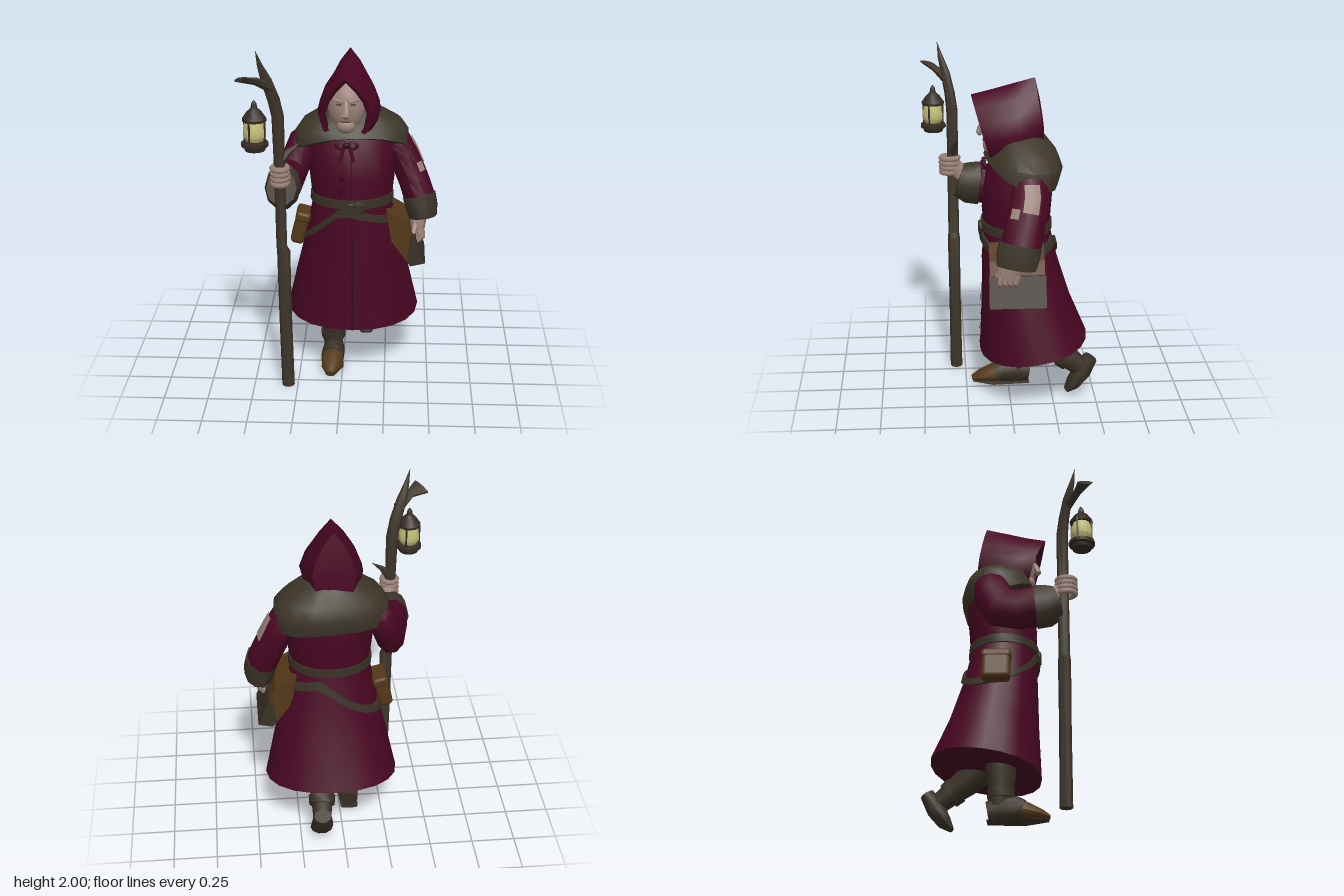
import * as THREE from 'three';
import { toCreasedNormals } from 'three/addons/utils/BufferGeometryUtils.js';
import { RoundedBoxGeometry } from 'three/addons/geometries/RoundedBoxGeometry.js';

const V = (x, y, z) => new THREE.Vector3(x, y, z);

export function createModel() {
  const root = new THREE.Group();
  root.name = 'lanternTraveller';
  const mat = (name, color, side = THREE.FrontSide) => {
    const m = new THREE.MeshStandardMaterial({ color, side });
    m.name = name;
    return m;
  };
  const crimson = mat('crimson cloth', 0x480622, THREE.DoubleSide);
  const darkRed = mat('dark crimson trim', 0x30051a, THREE.DoubleSide);
  const mantleCloth = mat('olive brown cloth', 0x3d3629);
  const hide = mat('dark leather', 0x393126, THREE.DoubleSide);
  const tan = mat('tan leather', 0x543818);
  const wood = mat('staff wood', 0x3e352a);
  const skin = mat('skin', 0x9b8379, THREE.DoubleSide);
  const iron = mat('lantern iron', 0x342a22);
  const glow = mat('lantern glass', 0xc4be78);
  const shade = mat('eye shade', 0x54423b);

  const add = (name, geo, material, pos, parent = root) => {
    const m = new THREE.Mesh(geo, material);
    m.name = name;
    if (pos) m.position.set(...pos);
    parent.add(m);
    return m;
  };

  // Surface through rows of points, optionally closed around and capped
  function grid(rows, closed = true, caps = true, crease = .75) {
    const n = rows[0].length, pts = rows.flat(), idx = [];
    for (let i = 0; i < rows.length - 1; i++)
      for (let j = 0; j < (closed ? n : n - 1); j++) {
        const k = (j + 1) % n, a = i * n + j, b = a + n, c = (i + 1) * n + k, d = i * n + k;
        idx.push(a, b, c, a, c, d);
      }
    if (caps) [0, rows.length - 1].forEach((r, end) => {
      const mid = rows[r].reduce((s, p) => s.add(p), V(0, 0, 0)).divideScalar(n);
      const c = pts.push(mid) - 1;
      for (let j = 0; j < n; j++) {
        const a = r * n + j, b = r * n + (j + 1) % n;
        idx.push(c, end ? b : a, end ? a : b);
      }
    });
    const g = new THREE.BufferGeometry().setFromPoints(pts);
    g.setIndex(idx);
    return toCreasedNormals(g, crease);
  }

  // Rings [x, y, z, a, b, slope, sideDroop] along a path, or stacked upright; square < 1 fills the corners
  const bend = (v, e) => Math.sign(v) * Math.abs(v) ** e;
  function loft(rings, { sides = 10, upright = false, arc = null, grow = 0, square = 1 } = {}) {
    const c = rings.map(r => V(r[0], r[1], r[2]));
    return grid(rings.map((r, i) => {
      const t = upright ? V(0, 1, 0)
        : c[Math.min(i + 1, c.length - 1)].clone().sub(c[Math.max(i - 1, 0)]).normalize();
      const u = V(1, 0, 0).addScaledVector(t, -t.x).normalize(), v = u.clone().cross(t);
      return Array.from({ length: sides }, (_, j) => {
        const th = arc ? arc[0] + (arc[1] - arc[0]) * j / (sides - 1) : j / sides * Math.PI * 2;
        const q = (r[4] + grow) * bend(Math.sin(th), square);
        const p = c[i].clone().addScaledVector(u, (r[3] + grow) * bend(Math.cos(th), square)).addScaledVector(v, q);
        p.y += (r[5] || 0) * q - (r[6] || 0) * Math.cos(th) ** 2;
        return p;
      });
    }), !arc, !arc);
  }

  // Coat: flared skirt and torso
  const skirt = [[.055, .335, -.14, .385, .312, -.15], [.055, .6, -.095, .325, .255, -.08],
    [.055, .85, -.06, .265, .215, -.02], [.05, 1.04, -.04, .225, .19]];
  const torso = [[.05, 1.02, -.04, .225, .19], [.05, 1.2, -.045, .245, .198],
    [.045, 1.38, -.065, .25, .195], [.04, 1.48, -.08, .2, .15], [.035, 1.57, -.07, .1, .1]];
  add('coatSkirt', loft(skirt, { sides: 20, upright: true, square: .92 }), crimson);
  add('coatTorso', loft(torso, { sides: 16, upright: true }), crimson);
  const seam = { sides: 2, upright: true, arc: [1.547, 1.571], grow: .005 };
  add('skirtSeam', loft(skirt, seam), darkRed);
  add('torsoSeam', loft(torso.slice(0, 3), seam), darkRed);
  for (const y of [1.13, 1.21]) {
    const b = add('button', new THREE.CylinderGeometry(.014, .014, .01, 8), darkRed, [-.005, y, .146]);
    b.rotation.x = Math.PI / 2;
  }

  // Belt, buckle and the slung strap that follows the skirt
  add('belt', loft([[.05, 1.035, -.04, .24, .205], [.05, 1.085, -.04, .238, .203]],
    { sides: 20, upright: true }), hide);
  add('buckle', new THREE.TorusGeometry(.03, .012, 5, 8), hide, [.09, 1.045, .165]);
  add('beltKnot', new RoundedBoxGeometry(.08, .055, .03, 1, .01), hide, [.07, 1.045, .16]);
  function coatPoint(th, y, grow) {
    const i = y < .6 ? 0 : y < .85 ? 1 : 2, a = skirt[i], b = skirt[i + 1], f = (y - a[1]) / (b[1] - a[1]);
    const mix = k => a[k] + (b[k] - a[k]) * f;
    return V(mix(0) + (mix(3) + grow) * Math.cos(th), y, mix(2) + (mix(4) + grow) * Math.sin(th));
  }
  const strapRows = [[-.024, 0], [-.024, .019], [.02, .019], [.02, 0]].map(([dy, g]) =>
    Array.from({ length: 36 }, (_, j) => {
      const th = j / 36 * Math.PI * 2;
      const y = 1.01 - .23 * Math.max(0, -Math.cos(th - .3)) - .07 * Math.max(0, Math.cos(th));
      return coatPoint(th, y + dy, g);
    }));
  add('slungStrap', grid(strapRows, true, false), hide);

  // Satchel on the left hip: tan upper body, dark lower flap
  const slab = (name, pts, z, depth, m) => add(name, new THREE.ExtrudeGeometry(
    new THREE.Shape(pts.map(p => new THREE.Vector2(...p))), { depth, bevelEnabled: false }), m, [0, 0, z]);
  slab('satchelBody', [[.25, 1.01], [.28, .83], [.385, .685], [.405, .86], [.37, .94]], -.18, .305, tan);
  slab('satchelFlap', [[.37, .71], [.39, .68], [.475, .70], [.41, .865], [.39, .87]], -.185, .315, hide);

  // Pouch on the right hip
  const pouch = add('pouch', new RoundedBoxGeometry(.08, .19, .16, 2, .025), tan, [-.25, .85, -.07]);
  pouch.rotation.z = -.25;
  const lid = add('pouchLid', new RoundedBoxGeometry(.088, .06, .17, 2, .02), tan, [-.232, .92, -.07]);
  lid.rotation.z = -.25;

  // Shoulder mantle, turned a little with the stride
  const mantle = add('mantle', loft([[.005, -.015, .022, .325, .198, .3, .05], [.005, .045, 0, .325, .203, .14, .01],
    [.005, .1, 0, .28, .178, .05], [0, .165, .02, .17, .14], [0, .21, .03, .11, .11]],
    { sides: 16, upright: true, square: .82 }), mantleCloth, [.04, 1.4, -.085]);
  mantle.rotation.y = .12;

  // Pointed hood: arched sections [zTop, zBottom, yTop, yBottom, halfWidth] from front to back
  const arch = [[0, 0], [.5, .02], [.85, .15], [1, .4], [.8, .62], [.45, .82], [0, 1]];
  const loop = [...arch, ...arch.slice(1, 6).reverse().map(([w, h]) => [-w, h])];
  const hoodRows = [[.16, .06, 1.77, 1.45, .115], [.195, .10, 1.78, 1.445, .122], [.21, .1, 1.8, 1.43, .15],
    [.1, .04, 1.83, 1.43, .175], [-.03, -.08, 1.865, 1.44, .17], [-.145, -.2, 1.895, 1.49, .12]]
    .map(([zt, zb, yt, yb, w]) => loop.map(([u, h]) =>
      V(.015 + (yt > 1.8 ? .02 : .005) + u * w, yb + (yt - yb) * h, zb + (zt - zb) * h)));
  add('hoodRim', grid(hoodRows.slice(0, 3), true, false), crimson);
  add('hood', grid(hoodRows.slice(2), true, false, 1.6), crimson);
  add('hoodBack', grid([hoodRows[5], hoodRows[5].map(p => V(.035 + (p.x - .035) * .4,
    1.69 + (p.y - 1.69) * .4, p.z * .4 - .115))]), crimson);

  // Face with hooked nose, brows and eyes
  const face = new THREE.Group();
  face.name = 'face';
  face.position.set(.02, 1.61, .04);
  root.add(face);
  add('head', new THREE.SphereGeometry(1, 14, 10), skin, null, face).scale.set(.106, .155, .108);
  add('nose', loft([[0, .045, .09, .012, .012], [0, 0, .115, .02, .02], [0, -.03, .125, .024, .018],
    [0, -.045, .12, .008, .008]], { sides: 7 }), skin, null, face);
  add('chin', new THREE.SphereGeometry(1, 10, 8), skin, [0, -.1, .062], face).scale.set(.055, .045, .045);
  add('mouth', new THREE.BoxGeometry(.05, .006, .008), shade, [0, -.068, .102], face);
  for (const s of [-1, 1]) {
    const brow = add('brow', new RoundedBoxGeometry(.06, .018, .03, 1, .007), skin, [s * .04, .05, .09], face);
    brow.rotation.set(0, s * .35, s * .2);
    const eye = add('eye', new THREE.BoxGeometry(.032, .008, .008), shade, [s * .038, .03, .098], face);
    eye.rotation.y = s * .35;
  }

  // Neck bow
  for (const s of [-1, 1]) {
    const bow = add('bowLoop', new THREE.TorusGeometry(.026, .011, 5, 8), crimson, [.025 + s * .034, 1.405, .14]);
    bow.scale.y = .75;
    const tail = add('bowTail', new THREE.BoxGeometry(.02, .09, .012), crimson, [.025 + s * .027, 1.355, .148]);
    tail.rotation.z = s * .25;
  }
  add('bowKnot', new RoundedBoxGeometry(.032, .032, .025, 1, .008), darkRed, [.025, 1.405, .147]);

  // Left arm hanging, with worn patches on the sleeve
  add('leftSleeve', loft([[.27, 1.42, -.1, .055, .075], [.3, 1.37, -.1, .082, .1], [.34, 1.29, -.1, .088, .108],
    [.405, 1.14, -.065, .088, .112], [.44, 1.04, -.04, .09, .115]]), crimson);
  add('leftCuff', loft([[.435, 1.06, -.04, .096, .122], [.452, .99, -.025, .092, .122],
    [.46, .935, -.015, .08, .112]]), mantleCloth);
  const patch = (rings, a, b) => add('wornPatch', loft(rings, { sides: 5, arc: [a, b], grow: .004 }), skin);
  patch([[.312, 1.35, -.1, .085, .104], [.34, 1.29, -.1, .089, .108], [.375, 1.21, -.083, .089, .11]], -.35, .45);
  patch([[.37, 1.22, -.085, .089, .11], [.392, 1.17, -.072, .089, .111]], -1, -.5);

  // Right arm reaching to the staff
  add('rightSleeve', loft([[-.2, 1.42, -.1, .055, .07], [-.225, 1.37, -.1, .085, .1], [-.255, 1.29, -.09, .088, .112],
    [-.295, 1.19, -.04, .09, .12], [-.315, 1.17, .07, .09, .12], [-.33, 1.18, .18, .092, .122]]), crimson);
  add('rightCuff', loft([[-.328, 1.175, .155, .1, .13], [-.33, 1.18, .22, .099, .125],
    [-.33, 1.2, .28, .085, .1]]), mantleCloth);

  // Hands
  add('leftPalm', loft([[.435, .97, -.01, .045, .055], [.43, .91, .015, .046, .068],
    [.432, .86, .025, .036, .06]], { sides: 8 }), skin);
  for (let i = 0; i < 4; i++) {
    const z = -.025 + i * .029;
    add('leftFinger', loft([[.445, .885, z, .024, .018], [.452, .845, z + .008, .022, .017],
      [.42, .81, z + .01, .018, .014]], { sides: 6 }), skin);
  }
  add('leftThumb', loft([[.42, .93, .05, .02, .02], [.405, .865, .085, .016, .016]], { sides: 6 }), skin);
  add('rightWrist', loft([[-.325, 1.22, .24, .045, .05], [-.32, 1.28, .3, .045, .05]], { sides: 8 }), skin);
  for (let i = 0; i < 4; i++) {
    const ring = add('rightFinger', new THREE.TorusGeometry(.042, .017, 6, 10), skin, [-.332, 1.25 + i * .028, .328]);
    ring.rotation.x = Math.PI / 2;
    ring.scale.y = 1.15;
  }

  // Staff with forked crown and a side spike
  add('staff', loft([[-.305, 0, .305, .036, .036], [-.315, .45, .308, .036, .034], [-.32, .84, .31, .037, .036],
    [-.33, .87, .31, .03, .032], [-.335, 1.3, .31, .03, .032], [-.34, 1.62, .31, .034, .033],
    [-.36, 1.72, .322, .034, .03], [-.395, 1.83, .345, .03, .026], [-.425, 1.92, .372, .015, .015],
    [-.445, 2, .39, .001, .001]], { sides: 8 }), wood);
  add('staffFork', loft([[-.375, 1.79, .335, .032, .028], [-.45, 1.84, .40, .026, .02],
    [-.525, 1.86, .447, .06, .012]], { sides: 7 }), wood);
  add('staffSpike', loft([[-.34, 1.36, .312, .035, .025], [-.285, 1.42, .298, .018, .016],
    [-.225, 1.465, .285, .001, .001]], { sides: 6 }), wood);

  // Hanging lantern
  const lantern = new THREE.Group();
  lantern.name = 'lantern';
  lantern.position.set(-.455, 1.46, .42);
  root.add(lantern);
  const lathe = (name, pts, m) =>
    add(name, toCreasedNormals(new THREE.LatheGeometry(pts.map(p => new THREE.Vector2(...p)), 12), .6), m, null, lantern);
  lathe('lanternBase', [[0, .005], [.055, .005], [.06, .025], [.074, .03], [.074, .05], [.055, .06], [0, .06]], iron);
  lathe('lanternGlass', [[.045, .055], [.062, .085], [.062, .125], [.045, .18]], glow);
  lathe('lanternRoof', [[0, .168], [.064, .168], [.066, .182], [.04, .22], [.018, .24], [.014, .265], [0, .285]], iron);
  for (let i = 0; i < 4; i++) {
    const a = i * Math.PI / 2 + .4;
    add('lanternPost', new THREE.BoxGeometry(.01, .125, .01), iron,
      [.061 * Math.cos(a), .115, .061 * Math.sin(a)], lantern);
  }

  // Right leg planted forward
  add('rightLeg', loft([[-.06, .42, -.05, .085, .1], [-.06, .28, -.05, .075, .085], [-.06, .17, -.05, .062, .07],
    [-.06, .08, -.06, .055, .06]]), hide);
  add('rightBootCuff', loft([[-.06, .19, -.05, .074, .08], [-.06, .14, -.05, .07, .078]]), hide);
  add('rightHeel', loft([[-.057, .065, -.125, .05, .06], [-.057, .08, -.04, .062, .078],
    [-.058, .078, .03, .066, .076], [-.059, .066, .07, .068, .064]]), hide);
  add('rightToe', loft([[-.058, .085, 0, .06, .07], [-.06, .06, .09, .066, .056],
    [-.065, .04, .17, .05, .034], [-.068, .028, .215, .022, .014]]), tan);
  add('rightSole', loft([[-.058, .008, -.125, .05, .008], [-.06, .008, .09, .066, .008],
    [-.066, .014, .21, .026, .008]]), hide);

  // Left leg trailing, heel lifted
  add('leftLeg', loft([[.09, .43, -.1, .085, .09], [.11, .32, -.23, .08, .085], [.125, .23, -.35, .06, .065],
    [.13, .17, -.42, .052, .055]]), hide);
  add('leftBootCuff', loft([[.122, .26, -.31, .078, .08], [.126, .225, -.355, .074, .075]]), hide);
  add('leftBoot', loft([[.13, .235, -.475, .05, .042], [.13, .15, -.425, .062, .055],
    [.13, .075, -.375, .066, .042], [.13, .03, -.335, .035, .016]]), hide);

  return root;
}
